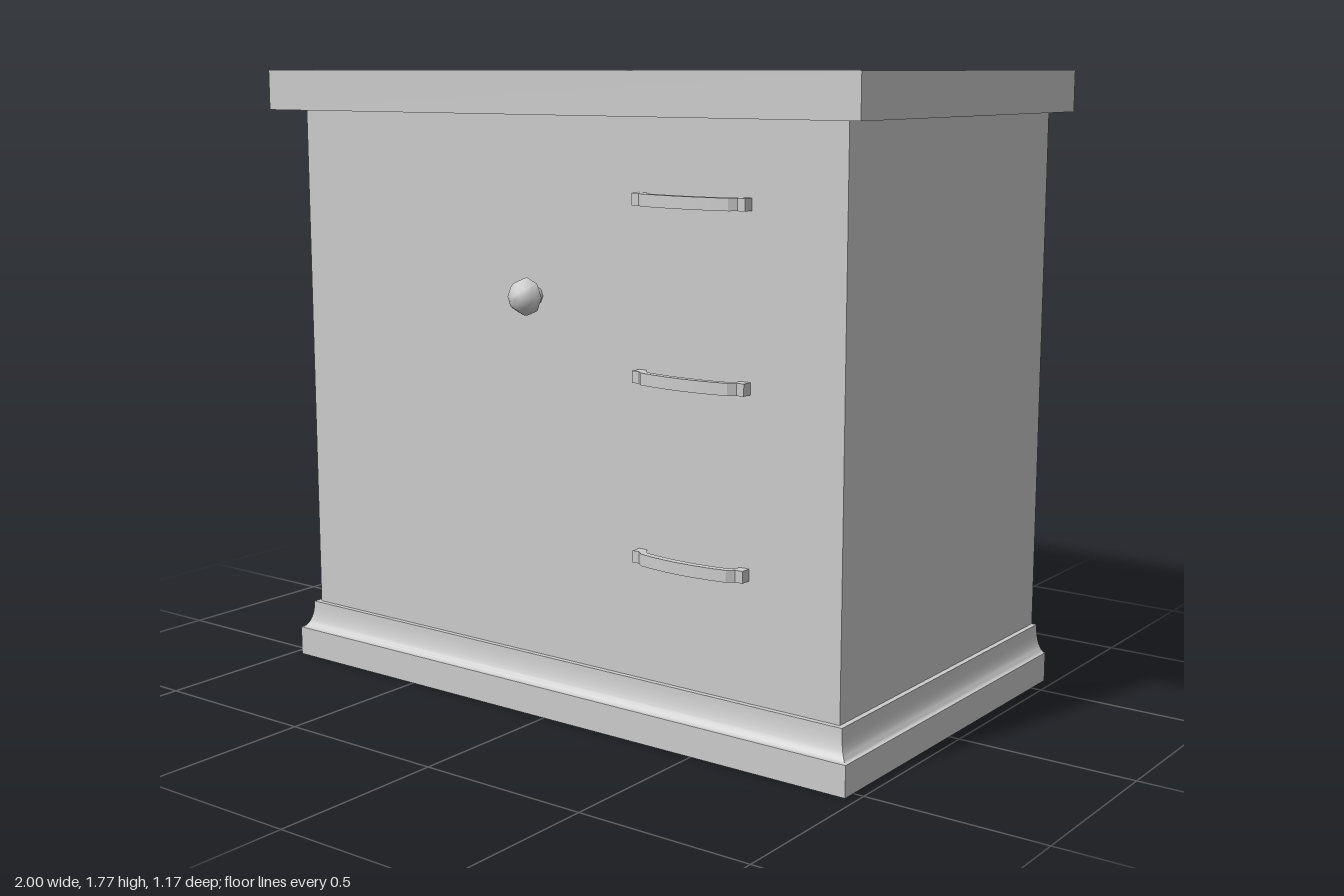
import * as THREE from 'three';
import { toCreasedNormals } from 'three/addons/utils/BufferGeometryUtils.js';

const HALF = 0.925, FRONT = 0.495, BACK = -0.585;
const material = new THREE.MeshStandardMaterial({ color: 0xcccccc, side: THREE.DoubleSide });

function add(parent, name, geometry) {
  const mesh = new THREE.Mesh(geometry, material);
  mesh.name = name;
  parent.add(mesh);
  return mesh;
}

// Sweeps an (outset, height) profile, listed bottom to top, round the left, front and right sides
function sweepSides(profile) {
  const pos = [], index = [];
  for (const [d, y] of profile) {
    const x = HALF + d, z = FRONT + d;
    pos.push(-x, y, BACK, -x, y, z, x, y, z, x, y, BACK);
  }
  for (let r = 0; r < profile.length - 1; r++) {
    for (let c = 0; c < 3; c++) {
      const a = r * 4 + c, b = a + 4;
      index.push(a, a + 1, b + 1, a, b + 1, b);
    }
  }
  const g = new THREE.BufferGeometry();
  g.setAttribute('position', new THREE.Float32BufferAttribute(pos, 3));
  g.setIndex(index);
  return toCreasedNormals(g, 0.75);
}

// Bow handle: outline seen from above (x, outward), extruded to its height
function handleGeometry() {
  const w = 0.175, h = 0.032;
  const s = new THREE.Shape();
  s.moveTo(-w, 0);
  s.lineTo(-w, 0.03);
  s.lineTo(-w + 0.022, 0.03);
  s.lineTo(-w + 0.04, 0.046);
  s.quadraticCurveTo(0, 0.074, w - 0.04, 0.046);
  s.lineTo(w - 0.022, 0.03);
  s.lineTo(w, 0.03);
  s.lineTo(w, 0);
  s.lineTo(w - 0.025, 0);
  s.lineTo(w - 0.045, 0.027);
  s.quadraticCurveTo(0, 0.052, -w + 0.045, 0.027);
  s.lineTo(-w + 0.025, 0);
  s.closePath();
  const g = new THREE.ExtrudeGeometry(s, { depth: h, bevelEnabled: false, curveSegments: 6 });
  g.translate(0, 0, -h / 2);
  g.rotateX(Math.PI / 2);
  return g;
}

export function createModel() {
  const group = new THREE.Group();

  // Thin carcass, open at the back and underneath
  add(group, 'carcass', sweepSides([[0, 0.165], [0, 1.655]]));

  // Overhanging top: underside lip, rim and flat slab
  add(group, 'topRim', sweepSides([[0, 1.655], [0.075, 1.655], [0.075, 1.77]]));
  const top = add(group, 'topPanel', new THREE.PlaneGeometry(2, FRONT + 0.075 - BACK));
  top.rotation.x = -Math.PI / 2;
  top.position.set(0, 1.77, (FRONT + 0.075 + BACK) / 2);

  // Plinth with a cove moulding and a narrow ledge
  const base = [[0.045, 0]];
  for (let i = 0; i <= 8; i++) {
    const t = (i / 8) * Math.PI / 2;
    base.push([0.045 - 0.03 * Math.sin(t), 0.165 - 0.08 * Math.cos(t)]);
  }
  base.push([0, 0.165]);
  add(group, 'plinth', sweepSides(base));

  // Drawer handles
  const handle = handleGeometry();
  for (const y of [0.505, 0.985, 1.445]) {
    add(group, 'drawerHandle', handle).position.set(0.475, y, FRONT);
  }

  // Octagonal door knob: stem and domed cap
  const knob = new THREE.Group();
  knob.name = 'doorKnob';
  knob.position.set(-0.05, 1.17, FRONT);
  knob.rotation.x = Math.PI / 2;
  group.add(knob);
  const lathe = (pts) => new THREE.LatheGeometry(pts.map(([r, y]) => new THREE.Vector2(r, y)), 8);
  add(knob, 'knobStem', lathe([[0.025, 0], [0.025, 0.04]]));
  add(knob, 'knobBack', lathe([[0.025, 0.04], [0.052, 0.038]]));
  add(knob, 'knobCap', lathe([[0.052, 0.038], [0.049, 0.053], [0.036, 0.075], [0.019, 0.087], [0, 0.09]]));

  return group;
}
